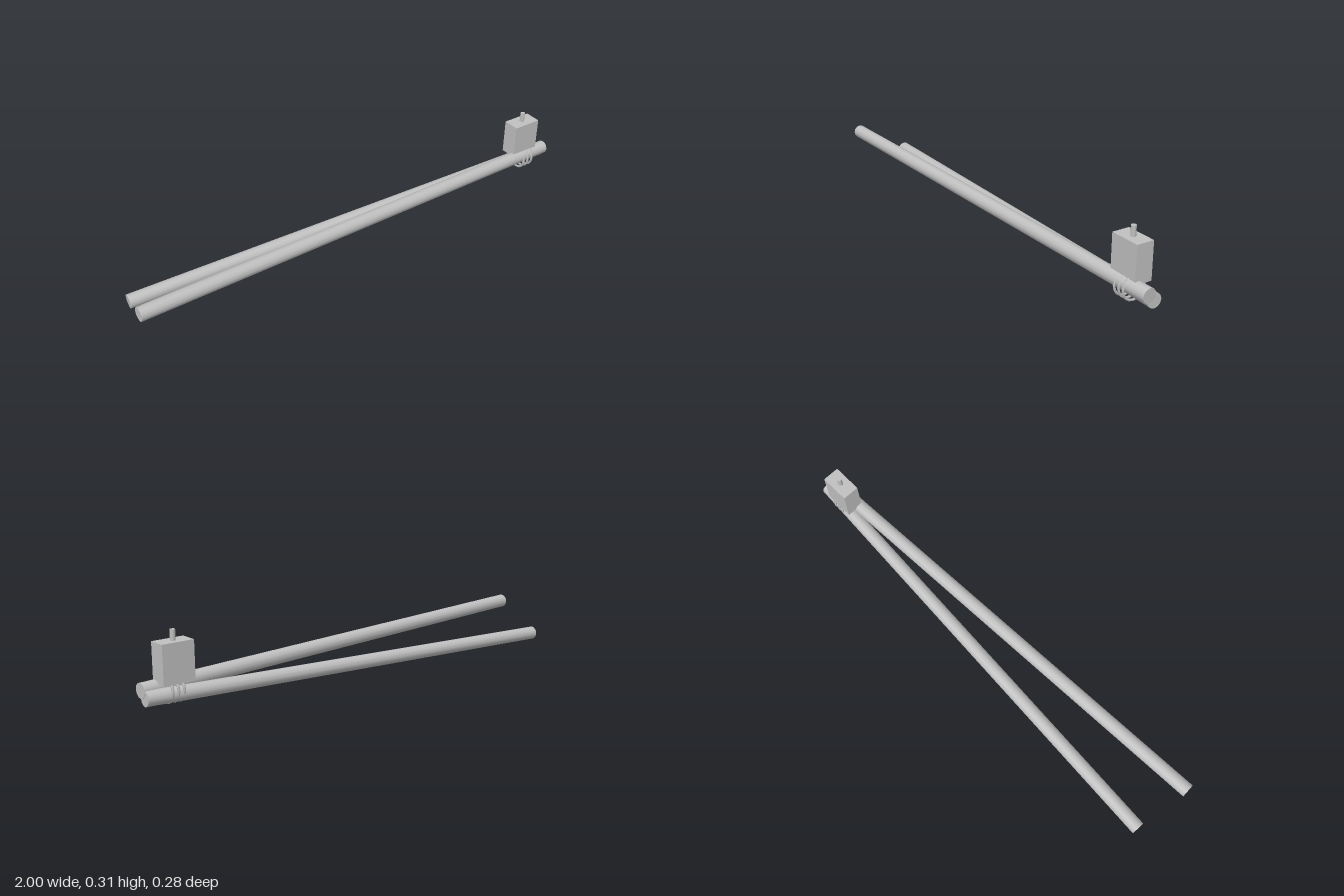
import * as THREE from 'three';

const grey = new THREE.MeshStandardMaterial({ color: 0xc0c0c0 });
grey.name = 'grey';

function add(parent, name, geometry, x = 0, y = 0, z = 0) {
  const mesh = new THREE.Mesh(geometry, grey);
  mesh.name = name;
  mesh.position.set(x, y, z);
  parent.add(mesh);
  return mesh;
}

// Round rod with its axis running between two points
function addRod(parent, name, from, to, radius) {
  const a = new THREE.Vector3(...from);
  const b = new THREE.Vector3(...to);
  const axis = b.clone().sub(a);
  const rod = add(parent, name, new THREE.CylinderGeometry(radius, radius, axis.length(), 12));
  rod.position.copy(a).add(b).multiplyScalar(0.5);
  rod.quaternion.setFromUnitVectors(new THREE.Vector3(0, 1, 0), axis.normalize());
}

export function createModel() {
  const model = new THREE.Group();
  model.name = 'rodPair';

  // Two rods that spread apart towards the right
  addRod(model, 'frontRod', [-0.999, 0.146, 0.109], [0.999, 0.106, 0.023], 0.029);
  addRod(model, 'backRod', [-0.962, 0.03, -0.109], [0.997, 0.082, -0.001], 0.029);

  // Block on the joined end, with a pin on top
  add(model, 'block', new THREE.BoxGeometry(0.127, 0.148, 0.072), 0.877, 0.196, 0.001);
  add(model, 'pin', new THREE.CylinderGeometry(0.01, 0.01, 0.044, 12), 0.877, 0.288, 0);

  // Binding rings around both rods
  const binding = new THREE.Group();
  binding.name = 'binding';
  for (const x of [0.86, 0.883, 0.906]) {
    const ring = add(binding, 'ring', new THREE.TorusGeometry(0.0465, 0.005, 6, 16), x, 0.095, 0.011);
    ring.rotation.y = Math.PI / 2;
  }
  model.add(binding);

  return model;
}
